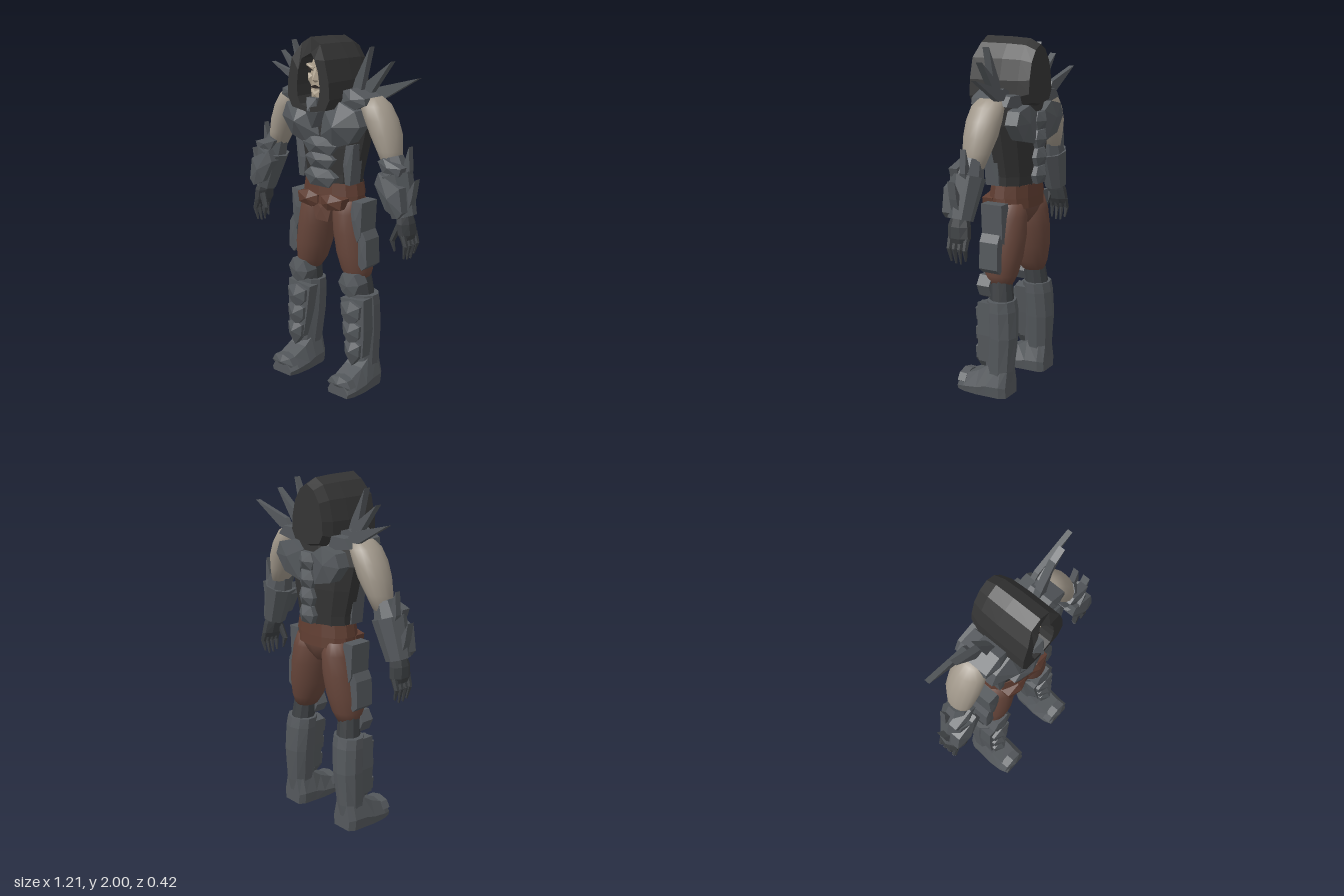
import * as THREE from 'three';

const mat = (name, color) => Object.assign(new THREE.MeshStandardMaterial({ color }), { name });

// Closed surface through matching loops of [x,y,z]; the ends are fans to a centre point.
function skin(loops, smooth = false, endA, endB) {
  const n = loops[0].length;
  const mean = (l) => [0, 1, 2].map((k) => l.reduce((s, p) => s + p[k], 0) / n);
  const last = loops.length - 1;
  const pts = [...loops.flat(), endA || mean(loops[0]), endB || mean(loops[last])];
  const a = n * loops.length, b = a + 1, idx = [];
  for (let i = 0; i < n; i++) {
    const j = (i + 1) % n;
    for (let r = 0; r < last; r++) {
      const p = r * n + i, q = r * n + j;
      idx.push(p, q, q + n, p, q + n, p + n);
    }
    idx.push(a, j, i, b, last * n + i, last * n + j);
  }
  // turn the faces outward
  let volume = 0;
  const v = pts.map((p) => new THREE.Vector3(...p));
  for (let i = 0; i < idx.length; i += 3) volume += v[idx[i]].dot(v[idx[i + 1]].clone().cross(v[idx[i + 2]]));
  if (volume < 0) idx.reverse();
  let g = new THREE.BufferGeometry().setFromPoints(v);
  g.setIndex(idx);
  if (!smooth) g = g.toNonIndexed();
  g.computeVertexNormals();
  return g;
}

// Faceted armour plate: an outline from z0 to z1 with a raised centre
function gem(outline, z0, z1, peak = z1, centre) {
  const c = centre || [0, 1].map((k) => outline.reduce((s, p) => s + p[k], 0) / outline.length);
  const at = (z) => outline.map(([x, y]) => [x, y, z]);
  return skin([at(z0), at(z1)], false, [...c, z0], [...c, peak]);
}

// Stack of level ellipses, each [y, x, z, radiusX, radiusZ]
const loft = (rings, n, smooth) => skin(rings.map(([y, x, z, rx, rz]) =>
  Array.from({ length: n }, (_, i) => {
    const t = ((i + 0.5) / n) * Math.PI * 2;
    return [x + Math.cos(t) * rx, y, z + Math.sin(t) * rz];
  })), smooth);

// Tapered bar between two points
function strut(a, b, ra, rb, n = 6) {
  const A = new THREE.Vector3(...a), B = new THREE.Vector3(...b), d = B.clone().sub(A);
  let g = new THREE.CylinderGeometry(rb, ra, d.length(), n);
  g.applyQuaternion(new THREE.Quaternion().setFromUnitVectors(new THREE.Vector3(0, 1, 0), d.normalize()));
  g.translate(...A.add(B).multiplyScalar(0.5).toArray());
  g = g.toNonIndexed();
  g.computeVertexNormals();
  return g;
}

// Mirror across x, keeping the faces outward
function mirrored(geo) {
  const g = geo.index ? geo.toNonIndexed() : geo.clone();
  for (const key of ['position', 'normal']) {
    const a = g.attributes[key].array;
    for (let i = 0; i < a.length; i += 3) a[i] *= -1;
    for (let i = 0; i < a.length; i += 9)
      for (let k = 3; k < 6; k++) [a[i + k], a[i + k + 3]] = [a[i + k + 3], a[i + k]];
  }
  return g;
}

const symmetric = (half) => [...half, ...half.filter((p) => p[0] > 0).reverse().map(([x, y]) => [-x, y])];

export function createModel() {
  const model = new THREE.Group();
  model.name = 'hoodedWarrior';
  const armour = mat('armour', 0x54585c), cloth = mat('darkCloth', 0x343434), skinTone = mat('skin', 0xa0978a);
  const face = mat('paleFace', 0xb0a38f), trousers = mat('trousers', 0x66453a), leather = mat('beltLeather', 0x5f3d31);
  const glove = mat('glove', 0x3c3f42), shade = mat('faceShadow', 0x2a2522);
  const add = (name, g, m) => {
    const mesh = new THREE.Mesh(g, m);
    mesh.name = name;
    model.add(mesh);
  };
  const both = (name, g, m) => {
    add(name + 'Left', g, m);
    add(name + 'Right', mirrored(g), m);
  };

  // Torso
  add('torso', loft([[1.13, 0, -0.025, 0.185, 0.12], [1.25, 0, -0.03, 0.19, 0.125], [1.4, 0, -0.03, 0.23, 0.13],
    [1.54, 0, -0.03, 0.265, 0.13], [1.64, 0, -0.03, 0.24, 0.12], [1.7, 0, -0.02, 0.13, 0.1]], 12), cloth);
  both('chestPlate', gem([[0.03, 1.61], [0.14, 1.66], [0.25, 1.62], [0.285, 1.54], [0.21, 1.44], [0.09, 1.4], [0.005, 1.46]],
    0.02, 0.1, 0.16, [0.14, 1.53]), armour);
  const abs = [[1.405, 0.125, 0.05], [1.325, 0.105, 0.045], [1.225, 0.115, 0.05]];
  for (const [y, w, h] of abs)
    add('abdomenPlate', gem([[-w, y + 0.01], [-w * 0.6, y + h], [w * 0.6, y + h], [w, y + 0.01], [w * 0.6, y - h], [-w * 0.6, y - h]],
      0.05, 0.105, 0.135), armour);
  both('flankPlate', gem([[0.155, 1.2], [0.19, 1.2], [0.215, 1.43], [0.16, 1.42], [0.14, 1.31]], -0.02, 0.065, 0.075), armour);
  add('collarPendant', gem([[0, 1.51], [0.045, 1.6], [0.035, 1.675], [-0.035, 1.675], [-0.045, 1.6]], 0.08, 0.165, 0.2, [0, 1.61]), armour);
  both('backPlate', gem([[0.045, 1.6], [0.12, 1.645], [0.23, 1.62], [0.26, 1.55], [0.19, 1.46], [0.06, 1.43]],
    -0.1, -0.175, -0.195), armour);
  for (let i = 0; i < 4; i++) {
    const y = 1.25 + i * 0.1;
    add('spinePlate', gem([[-0.06, y], [-0.04, y + 0.048], [0.04, y + 0.048], [0.06, y], [0.04, y - 0.048], [-0.04, y - 0.048]],
      -0.11, -0.18, -0.21), armour);
  }

  // Hood: inner rim, outer rim and tapering back
  const inner = symmetric([[0, 1.915], [0.045, 1.885], [0.072, 1.82], [0.083, 1.74], [0.078, 1.68], [0.06, 1.64], [0, 1.625]]);
  const outer = symmetric([[0, 2], [0.065, 1.965], [0.118, 1.885], [0.147, 1.77], [0.152, 1.68], [0.12, 1.62], [0, 1.6]]);
  const front = ([x, y]) => [x, y, y > 1.9 ? 0.165 : 0.19];
  const shell = (z, sx, sy) => outer.map(([x, y]) => [x * sx, 1.8 + (y - 1.8) * sy, z]);
  add('hood', skin([inner.map(([x, y]) => [x, y, 0]), inner.map(front), outer.map(front), shell(0, 1, 0.985),
    shell(-0.11, 0.95, 0.95), shell(-0.17, 0.82, 0.8)]), cloth);

  // Face
  add('head', loft([[1.62, 0, 0.055, 0.045, 0.045], [1.66, 0, 0.07, 0.05, 0.065], [1.72, 0, 0.065, 0.07, 0.07],
    [1.8, 0, 0.06, 0.074, 0.075], [1.86, 0, 0.055, 0.07, 0.07], [1.915, 0, 0.05, 0.04, 0.05]], 10), face);
  add('nose', gem([[-0.012, 1.83], [0.012, 1.83], [0.024, 1.765], [0, 1.752], [-0.024, 1.765]], 0.1, 0.132, 0.155, [0, 1.77]), face);
  add('chin', gem([[-0.035, 1.715], [0.035, 1.715], [0.028, 1.665], [-0.028, 1.665]], 0.09, 0.13, 0.142), face);
  add('mouth', gem([[-0.038, 1.728], [0, 1.742], [0.038, 1.728], [0, 1.724]], 0.131, 0.14), shade);
  both('cheek', gem([[0.026, 1.79], [0.062, 1.8], [0.064, 1.765], [0.04, 1.735]], 0.08, 0.123, 0.135), face);
  both('brow', gem([[0.008, 1.835], [0.06, 1.855], [0.062, 1.843], [0.01, 1.82]], 0.1, 0.138, 0.142), face);
  both('eye', gem([[0.016, 1.818], [0.055, 1.83], [0.05, 1.812]], 0.122, 0.131), shade);

  // Shoulder guards and their spikes
  both('shoulderGuard', gem([[0.13, 1.65], [0.15, 1.72], [0.2, 1.735], [0.3, 1.69], [0.305, 1.655], [0.22, 1.62]],
    -0.06, 0.08, 0.1), armour);
  both('rearShoulderGuard', gem([[0.12, 1.62], [0.15, 1.7], [0.25, 1.7], [0.29, 1.65]], -0.13, -0.05), armour);
  both('longSpike', gem([[0.23, 1.68], [0.27, 1.735], [0.535, 1.805], [0.32, 1.68]], -0.1, -0.07), armour);
  both('middleSpike', gem([[0.2, 1.7], [0.235, 1.765], [0.4, 1.885], [0.27, 1.71]], -0.05, -0.012), armour);
  both('innerSpike', gem([[0.155, 1.7], [0.185, 1.78], [0.283, 1.955], [0.225, 1.72]], -0.02, 0.02), armour);

  // Arms
  both('upperArm', loft([[1.69, 0.27, -0.02, 0.055, 0.06], [1.65, 0.295, -0.02, 0.085, 0.09], [1.58, 0.335, -0.02, 0.09, 0.098],
    [1.5, 0.37, -0.02, 0.085, 0.095], [1.42, 0.4, -0.015, 0.066, 0.08], [1.34, 0.425, -0.01, 0.048, 0.06]], 16, true), skinTone);
  both('elbowCuff', strut([0.425, 1.385, -0.005], [0.455, 1.3, 0], 0.062, 0.08, 8), armour);
  both('elbowPlate', gem([[0.385, 1.37], [0.42, 1.39], [0.54, 1.35], [0.525, 1.305], [0.42, 1.31]], 0.02, 0.07, 0.085), armour);
  both('bracer', strut([0.455, 1.3, 0.005], [0.525, 1.08, 0.01], 0.095, 0.068, 8), armour);
  both('bracerPlate', gem([[0.385, 1.25], [0.41, 1.315], [0.55, 1.25], [0.57, 1.12], [0.54, 1.085], [0.46, 1.12]],
    0.02, 0.095, 0.118), armour);
  both('elbowSpike', gem([[0.48, 1.32], [0.505, 1.36], [0.535, 1.455], [0.545, 1.33], [0.53, 1.28]], -0.035, 0), armour);
  both('wristSpike', gem([[0.54, 1.15], [0.56, 1.22], [0.605, 1.295], [0.59, 1.2], [0.57, 1.13]], -0.01, 0.035), armour);

  // Gloved hands
  both('palm', loft([[1.1, 0.525, 0.01, 0.04, 0.05], [1.05, 0.535, 0.01, 0.045, 0.065], [0.99, 0.545, 0.005, 0.04, 0.068],
    [0.96, 0.55, 0.005, 0.025, 0.055]], 8), glove);
  for (let i = 0; i < 4; i++) {
    const z = -0.045 + i * 0.033, drop = [0.02, 0, 0, 0.01][i];
    both('finger', strut([0.55, 0.99, z], [0.57, 0.93, z], 0.018, 0.015), glove);
    both('fingertip', strut([0.57, 0.935, z], [0.555, 0.85 + drop, z * 0.9], 0.015, 0.006), glove);
  }
  both('thumb', strut([0.515, 1.03, 0.045], [0.48, 0.95, 0.055], 0.021, 0.016), glove);
  both('thumbTip', strut([0.48, 0.955, 0.055], [0.495, 0.89, 0.05], 0.016, 0.006), glove);

  // Hips and belt
  add('hips', loft([[1.16, 0, -0.03, 0.185, 0.12], [1.08, 0, -0.03, 0.195, 0.125], [1.02, 0, -0.03, 0.13, 0.1],
    [0.97, 0, -0.03, 0.045, 0.07]], 14, true), trousers);
  add('belt', loft([[1.2, 0, -0.025, 0.19, 0.128], [1.13, 0, -0.025, 0.203, 0.135]], 14), leather);
  add('lowerBelt', loft([[1.15, 0, -0.03, 0.19, 0.125], [1.07, 0, -0.03, 0.198, 0.13]], 14), leather);
  add('loincloth', gem([[-0.09, 1.12], [0.09, 1.12], [0.045, 0.97], [-0.045, 0.97]], 0.03, 0.085, 0.095), trousers);
  both('beltPouch', gem([[0.012, 1.12], [0.08, 1.14], [0.165, 1.12], [0.155, 1.06], [0.06, 1.045], [0.015, 1.07]],
    0.04, 0.105, 0.13), leather);

  // Legs
  both('thigh', loft([[1.1, 0.12, -0.03, 0.075, 0.095], [1.03, 0.12, -0.03, 0.098, 0.118], [0.92, 0.135, -0.03, 0.105, 0.122],
    [0.8, 0.155, -0.027, 0.103, 0.115], [0.7, 0.172, -0.025, 0.088, 0.095], [0.64, 0.185, -0.025, 0.06, 0.07]], 18, true), trousers);
  both('upperThighPlate', gem([[0.175, 1.0], [0.195, 1.11], [0.265, 1.11], [0.255, 0.92], [0.23, 0.88]], -0.08, 0.05, 0.06), armour);
  both('lowerThighPlate', gem([[0.235, 0.93], [0.265, 0.945], [0.29, 0.9], [0.297, 0.75], [0.26, 0.72], [0.235, 0.75]],
    -0.07, 0.045, 0.052), armour);
  both('kneeJoint', loft([[0.68, 0.19, -0.03, 0.06, 0.065], [0.54, 0.2, -0.045, 0.07, 0.07]], 10), glove);
  both('kneePad', gem([[0.12, 0.63], [0.15, 0.69], [0.235, 0.695], [0.27, 0.64], [0.24, 0.575], [0.2, 0.555], [0.15, 0.575]],
    0, 0.08, 0.098), armour);
  both('greave', loft([[0.56, 0.203, -0.045, 0.095, 0.08], [0.5, 0.206, -0.05, 0.097, 0.087], [0.35, 0.214, -0.055, 0.09, 0.09],
    [0.15, 0.224, -0.045, 0.073, 0.085], [0.08, 0.224, -0.04, 0.073, 0.08]], 10), armour);
  both('shinGuard', gem([[0.12, 0.53], [0.29, 0.55], [0.295, 0.36], [0.285, 0.2], [0.175, 0.2], [0.145, 0.36]], -0.03, 0.06, 0.075), armour);
  for (let i = 0; i < 3; i++) {
    const y = 0.46 - i * 0.115, x = 0.208 + i * 0.008, w = 0.07 - i * 0.007;
    both('shinChevron', gem([[x - w, y + 0.05], [x, y + 0.075], [x + w, y + 0.05], [x + w * 0.9, y - 0.02], [x, y - 0.085], [x - w * 0.9, y - 0.02]],
      0.04, 0.082, 0.108 + i * 0.003), armour);
  }

  // Boots
  const foot = [[0.2, 0.075, 0.065], [0.15, 0.094, 0.1], [0.06, 0.1, 0.14], [0, 0.094, 0.18], [-0.08, 0.088, 0.19], [-0.115, 0.065, 0.17]];
  both('boot', skin(foot.map(([z, w, h]) => [[-0.92, 0], [0.92, 0], [1, 0.35], [0.62, 1], [-0.62, 1], [-1, 0.35]]
    .map(([x, y]) => [0.222 + x * w, y * h, z]))), armour);
  both('toePlate', gem([[0.135, 0.06], [0.165, 0.1], [0.225, 0.115], [0.285, 0.1], [0.31, 0.06], [0.27, 0.035], [0.175, 0.035]],
    0.14, 0.19, 0.21), armour);
  return model;
}
